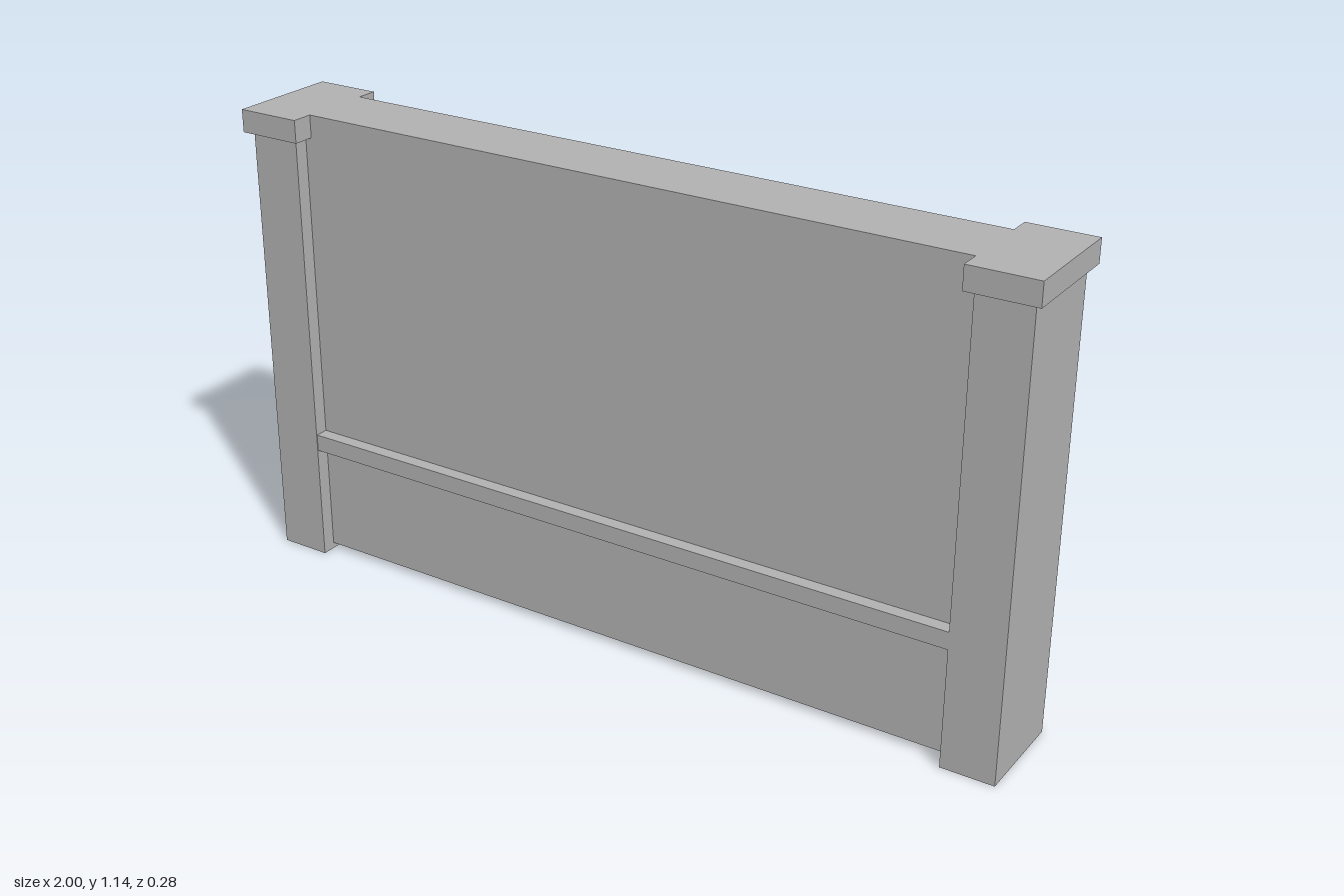
import * as THREE from 'three';

export function createModel() {
  const group = new THREE.Group();
  const grey = new THREE.MeshStandardMaterial({ color: 0xb2b2b2 });
  grey.name = 'plain grey';

  // Box given by its centre x, bottom, top, width and depth
  const addBox = (name, x, bottom, top, width, depth) => {
    const mesh = new THREE.Mesh(new THREE.BoxGeometry(width, top - bottom, depth), grey);
    mesh.name = name;
    mesh.position.set(x, (bottom + top) / 2, 0);
    group.add(mesh);
  };

  // Wall slab, raised slightly off the ground
  addBox('wallPanel', 0, 0.015, 1.14, 1.71, 0.177);

  // Rail standing proud of both faces of the wall
  addBox('rail', 0, 0.288, 0.33, 1.71, 0.242);

  // Capped end posts
  for (const [side, s] of [['left', 1], ['right', -1]]) {
    addBox(side + 'Post', s * 0.919, 0, 1.085, 0.128, 0.246);
    addBox(side + 'Cap', s * 0.919, 1.085, 1.14, 0.162, 0.282);
  }
  return group;
}
